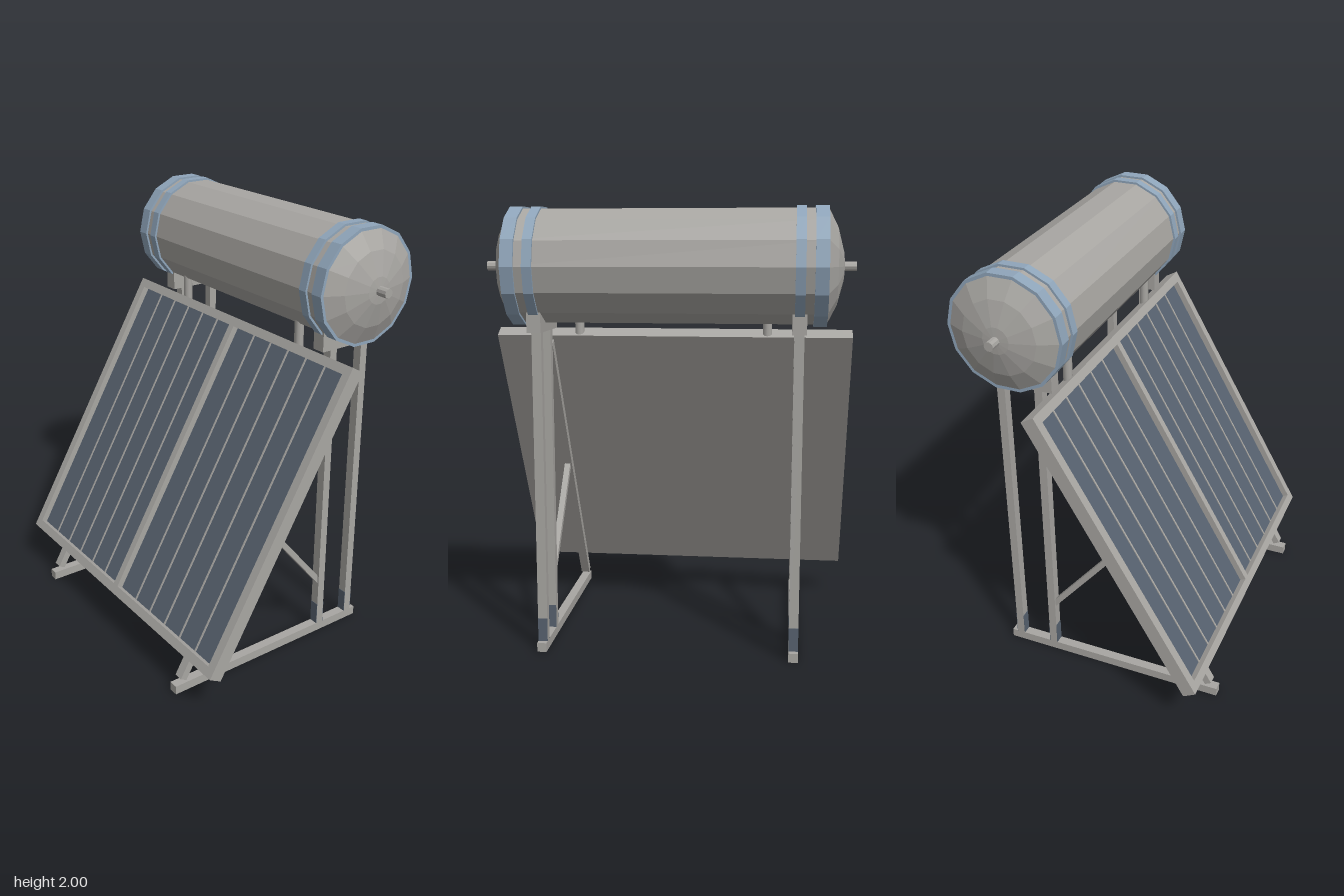
import * as THREE from 'three';

const grey = new THREE.MeshStandardMaterial({ color: 0xa8a6a2 });
grey.name = 'galvanised grey';
const blue = new THREE.MeshStandardMaterial({ color: 0x8fa5ba });
blue.name = 'strap blue';
const slate = new THREE.MeshStandardMaterial({ color: 0x57626f });
slate.name = 'absorber slate';

const TANK_Y = 1.745, TANK_Z = -0.33, SIDES = 14;

// Box given by its limits on each axis
function box(parent, name, mat, [x0, x1], [y0, y1], [z0, z1]) {
  const mesh = new THREE.Mesh(new THREE.BoxGeometry(x1 - x0, y1 - y0, z1 - z0), mat);
  mesh.position.set((x0 + x1) / 2, (y0 + y1) / 2, (z0 + z1) / 2);
  mesh.name = name;
  parent.add(mesh);
  return mesh;
}

// Faceted turned part lying along x; profile points are [radius, x]
function turned(parent, name, mat, profile, sides = SIDES) {
  const pts = profile.map(([r, x]) => new THREE.Vector2(r, x));
  const geo = new THREE.LatheGeometry(pts, sides).toNonIndexed();
  geo.rotateZ(-Math.PI / 2);
  geo.computeVertexNormals();
  const mesh = new THREE.Mesh(geo, mat);
  mesh.name = name;
  parent.add(mesh);
  return mesh;
}

function makeTank() {
  const tank = new THREE.Group();
  tank.name = 'tank';
  tank.position.set(0, TANK_Y, TANK_Z);

  // Shell with shallow domed ends
  const dome = [[0.252, 0.685], [0.168, 0.727], [0.06, 0.755], [0, 0.76]];
  const mirrored = dome.map(([r, x]) => [r, -x]).reverse();
  turned(tank, 'tankShell', grey, [...mirrored, ...dome]);

  // Straps and end pipes, both sides
  for (const s of [-1, 1]) {
    for (const [a, b] of [[0.63, 0.687], [0.55, 0.592]]) {
      const [x0, x1] = s > 0 ? [a, b] : [-b, -a];
      turned(tank, 'strap', blue, [[0.24, x0], [0.262, x0], [0.262, x1], [0.24, x1]]);
    }
    const [p0, p1] = s > 0 ? [0.74, 0.81] : [-0.81, -0.74];
    turned(tank, 'endPipe', grey, [[0, p0], [0.021, p0], [0.021, p1], [0, p1]], 10);
  }
  return tank;
}

// Collector: local y runs up the slope, local z points out of the glass
function makeCollector() {
  const panel = new THREE.Group();
  panel.name = 'collector';
  panel.position.set(0, 0.205, 0.57);
  panel.rotation.x = -Math.PI / 6;
  const W = 0.81, L = 1.449, F = 0.042, D = 0.065, R = 0.03;

  box(panel, 'backTray', grey, [-W, W], [0, L], [-D, -R - 0.004]);
  box(panel, 'absorber', slate, [-W + F, W - F], [F, L - F], [-R - 0.004, -R]);

  // Frame and centre bar
  for (const s of [-1, 1]) {
    const x = s * (W - F / 2);
    box(panel, 'frameSide', grey, [x - F / 2, x + F / 2], [0, L], [-R - 0.004, 0]);
  }
  box(panel, 'frameBottom', grey, [-W + F, W - F], [0, F], [-R - 0.004, 0]);
  box(panel, 'frameTop', grey, [-W + F, W - F], [L - F, L], [-R - 0.004, 0]);
  box(panel, 'centreBar', grey, [-0.017, 0.017], [F, L - F], [-R, 0]);

  // Thin riser lines on the absorber
  for (const s of [-1, 1]) {
    for (let i = 0; i < 5; i++) {
      const x = s * (0.145 + i * 0.1225);
      box(panel, 'riser', grey, [x - 0.004, x + 0.004], [F, L - F], [-R, -R + 0.004]);
    }
  }

  // Sloping rails under the tray
  for (const s of [-1, 1]) {
    const x = s * 0.571;
    box(panel, 'slopeRail', grey, [x - 0.0215, x + 0.0215], [-0.118, 1.425], [-D - 0.034, -D]);
  }
  return panel;
}

// One side of the stand, centred on its own x = 0
function makeStand() {
  const stand = new THREE.Group();
  stand.name = 'stand';
  const w = [-0.0215, 0.0215];
  box(stand, 'baseRail', grey, w, [0, 0.042], [-0.47, 0.6]);
  for (const [z0, z1] of [[-0.262, -0.225], [-0.442, -0.405]]) {
    box(stand, 'post', grey, w, [0.042, 1.47], [z0, z1]);
    // Painted foot plates
    box(stand, 'footPlate', slate, w, [0.042, 0.15], [z1, z1 + 0.002]);
    box(stand, 'footPlate', slate, w, [0.042, 0.15], [z0 - 0.002, z0]);
  }
  box(stand, 'cradle', grey, [-0.031, 0.031], [1.46, 1.55], [-0.487, -0.173]);

  // Diagonal brace between slope rail and front post
  const a = new THREE.Vector3(0, 0.27, -0.24), b = new THREE.Vector3(0, 0.745, 0.148);
  const brace = new THREE.Mesh(new THREE.BoxGeometry(0.028, a.distanceTo(b), 0.026), grey);
  brace.position.copy(a).lerp(b, 0.5);
  brace.rotation.x = Math.atan2(b.z - a.z, b.y - a.y);
  brace.name = 'brace';
  stand.add(brace);
  return stand;
}

export function createModel() {
  const model = new THREE.Group();
  model.name = 'solarWaterHeater';
  model.add(makeTank(), makeCollector());
  for (const s of [-1, 1]) {
    const stand = makeStand();
    stand.position.x = s * 0.571;
    model.add(stand);

    // Connecting pipe from collector to tank
    const pipe = new THREE.Mesh(new THREE.CylinderGeometry(0.021, 0.021, 0.18, 10), grey);
    pipe.position.set(s * 0.43, 1.51, -0.183);
    pipe.name = 'connectingPipe';
    model.add(pipe);
  }
  return model;
}
